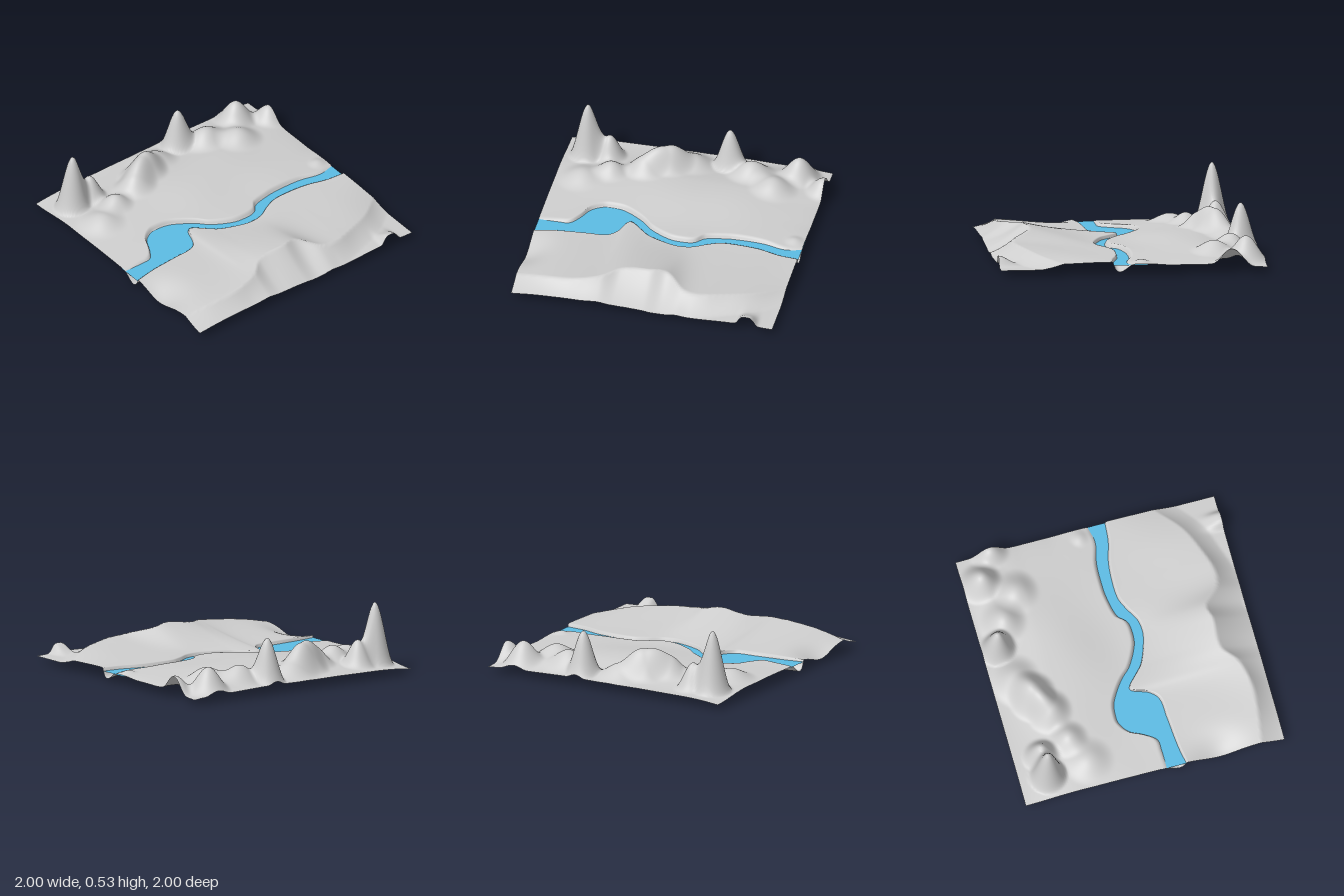
import * as THREE from 'three';

const COLS = 160, NORTH = 76, BED = 12, SOUTH = 62;
const WATER_Y = 0.075;
const { lerp, smoothstep } = THREE.MathUtils;

// Smooth curve through [x, value] points
function curve(points) {
  const slope = (i) => {
    const a = points[Math.max(i - 1, 0)], b = points[Math.min(i + 1, points.length - 1)];
    return (b[1] - a[1]) / (b[0] - a[0]);
  };
  return (x) => {
    let i = 0;
    while (i < points.length - 2 && x > points[i + 1][0]) i++;
    const [x0, y0] = points[i], [x1, y1] = points[i + 1];
    const w = x1 - x0, t = (x - x0) / w, t2 = t * t, t3 = t2 * t;
    return (2 * t3 - 3 * t2 + 1) * y0 + (t3 - 2 * t2 + t) * w * slope(i)
      + (3 * t2 - 2 * t3) * y1 + (t3 - t2) * w * slope(i + 1);
  };
}

// River banks and the lowest level of its bed
const northBank = curve([[-1, 0.09], [-0.85, 0.09], [-0.76, 0.08], [-0.7, 0], [-0.65, -0.1], [-0.57, -0.16],
  [-0.5, -0.17], [-0.4, -0.155], [-0.3, -0.1], [-0.22, -0.04], [-0.15, 0.03], [0, 0.11], [0.1, 0.125],
  [0.2, 0.11], [0.26, 0.05], [0.4, 0.015], [0.5, 0.005], [0.7, 0.01], [0.87, 0.045], [1, 0.02]]);
const southBank = curve([[-1, 0.24], [-0.85, 0.215], [-0.6, 0.195], [-0.45, 0.18], [-0.38, 0.11], [-0.34, 0],
  [-0.3, -0.01], [-0.22, 0.06], [-0.15, 0.12], [0, 0.18], [0.1, 0.2], [0.2, 0.185], [0.3, 0.13],
  [0.4, 0.09], [0.55, 0.085], [0.7, 0.1], [0.85, 0.14], [1, 0.155]]);
const bedLevel = curve([[-1, 0.015], [-0.8, 0.01], [-0.5, 0.002], [-0.42, 0.015], [-0.3, 0.045], [-0.2, 0.055],
  [0.7, 0.055], [0.85, 0.045], [1, 0.025]]);

// Rims of the water sheet, which runs on under the land and the spit
const northRim = curve([[-1, 0.05], [-0.79, 0.03], [-0.71, -0.2], [-0.6, -0.205], [-0.5, -0.2], [-0.3, -0.13],
  [0, -0.01], [0.23, 0.02], [0.4, 0], [0.7, -0.01], [0.84, 0], [0.93, -0.1], [1, -0.1]]);
const southRim = curve([[-1, 0.2], [-0.5, 0.17], [-0.4, 0.165], [-0.15, 0.135], [0.3, 0.08], [1, 0.08]]);

// Crest of the southern hills: its place, its height, and how far its slope runs
const crestZ = curve([[-1, 0.82], [-0.75, 0.86], [-0.55, 0.87], [-0.35, 0.82], [-0.22, 0.72], [0, 0.72],
  [0.13, 0.7], [0.27, 0.82], [0.4, 0.84], [0.6, 0.78], [0.8, 0.69], [1, 0.53]]);
const crestY = curve([[-1, 0.105], [-0.8, 0.14], [-0.5, 0.175], [-0.3, 0.2], [0, 0.238], [0.12, 0.222],
  [0.3, 0.168], [0.5, 0.155], [0.75, 0.135], [1, 0.092]]);
const slopeRun = curve([[-1, 0.17], [-0.5, 0.14], [-0.2, 0.28], [0.15, 0.28], [0.35, 0.16], [1, 0.17]]);
const frontEdgeY = curve([[-1, 0.05], [-0.8, 0.065], [-0.4, 0.07], [-0.15, 0.065], [0, 0.05], [0.4, 0.05],
  [0.7, 0.06], [1, 0.05]]);

// Northern hills: x, z, height, radius across x, radius across z
const hills = [
  [-0.825, -0.78, 0.46, 0.148, 0.148], [0.24, -0.88, 0.33, 0.145, 0.145],
  [-0.66, -0.79, 0.19, 0.14, 0.15], [-0.6, -0.56, 0.085, 0.16, 0.16], [-0.8, -0.46, 0.06, 0.2, 0.2],
  [-0.35, -0.64, 0.125, 0.19, 0.18], [-0.2, -0.73, 0.18, 0.21, 0.19], [-0.04, -0.82, 0.09, 0.22, 0.2],
  [0.42, -0.79, 0.09, 0.2, 0.19], [0.63, -0.63, 0.08, 0.2, 0.18], [0.78, -0.87, 0.165, 0.18, 0.18],
  [0.56, -0.8, 0.04, 0.4, 0.22], [0.99, -0.74, 0.115, 0.15, 0.16], [0.93, -0.06, 0.02, 0.09, 0.08],
  [0, -0.45, 0.033, 0.95, 0.48],
];

function northLand(x, z) {
  let y = 0.108 - 0.025 * x ** 4 - 0.04 * smoothstep(-z, 0.55, 1);
  if (x > 0) y -= 0.014 * x ** 8 * smoothstep(-z, 0.1, 0.3) * (1 - smoothstep(-z, 0.5, 0.7));
  for (const [hx, hz, h, rx, rz] of hills) {
    const r = Math.hypot((x - hx) / rx, (z - hz) / rz);
    if (r < 1) y += h * 0.5 * (1 + Math.cos(Math.PI * r));
  }
  return y + 0.003 * Math.sin(9 * x + 4 * z) * Math.sin(7 * z - 2 * x);
}

function southLand(x, z) {
  const start = southBank(x), top = crestZ(x);
  if (z > top) {
    const t = Math.min((z - top) / slopeRun(x), 1);
    const knoll = 0.07 * Math.exp(-(((x - 0.8) / 0.065) ** 4) - ((z - 1) / 0.1) ** 2);
    return lerp(crestY(x), frontEdgeY(x), 0.6 * t + 0.4 * t * (2 - t)) + knoll;
  }
  const t = (z - start) / (top - start);
  const dip = 0.065 * Math.exp(-(((x + 1) / 0.15) ** 2) - ((z - 0.5) / 0.18) ** 2);
  return lerp(0.1, crestY(x), t ** 1.25) - dip
    + 0.003 * Math.sin(8 * x + 3 * z) * Math.sin(Math.PI * t);
}

// Land height with steep banks falling to the river
function landHeight(x, z) {
  const n = northBank(x), s = southBank(x);
  const rise = (d, width, y) => lerp(WATER_Y, y, smoothstep(d, -0.01, width));
  if (z < n) return rise(n - z, 0.026, northLand(x, z));
  if (z > s) return rise(z - s, 0.012, southLand(x, z));
  const t = (z - n) / (s - n);
  return WATER_Y - (WATER_Y - bedLevel(x)) * Math.max(Math.sin(Math.PI * t ** 1.6), 0) ** 0.7;
}

// Sheet of columns along x; each row gives a point
function sheet(rows, point) {
  const pos = [], index = [];
  for (let i = 0; i <= COLS; i++) {
    const x = -1 + 2 * i / COLS;
    for (let j = 0; j <= rows; j++) pos.push(...point(x, j));
  }
  for (let i = 0; i < COLS; i++) {
    for (let j = 0; j < rows; j++) {
      const a = i * (rows + 1) + j, b = a + rows + 1;
      index.push(a, a + 1, b, a + 1, b + 1, b);
    }
  }
  const g = new THREE.BufferGeometry();
  g.setAttribute('position', new THREE.Float32BufferAttribute(pos, 3));
  g.setIndex(index);
  g.computeVertexNormals();
  return g;
}

export function createModel() {
  const group = new THREE.Group();
  group.name = 'riverValley';
  const landGrey = new THREE.MeshStandardMaterial({ color: 0xcecece, side: THREE.DoubleSide });
  landGrey.name = 'landGrey';
  const waterBlue = new THREE.MeshStandardMaterial({ color: 0x5cbce4, side: THREE.DoubleSide });
  waterBlue.name = 'waterBlue';

  // Land: rows follow the banks so the shoreline stays crisp
  const land = new THREE.Mesh(sheet(NORTH + BED + SOUTH, (x, j) => {
    const n = northBank(x), s = southBank(x);
    let z;
    if (j <= NORTH) z = lerp(n, -1, (1 - j / NORTH) ** 1.15);
    else if (j <= NORTH + BED) z = lerp(n, s, (j - NORTH) / BED);
    else z = lerp(s, 1, ((j - NORTH - BED) / SOUTH) ** 1.2);
    return [x, landHeight(x, z), z];
  }), landGrey);
  land.name = 'land';

  // Water: flat ribbon, tucked under both banks
  const water = new THREE.Mesh(sheet(1, (x, j) => [x, WATER_Y,
    j ? Math.max(southBank(x), southRim(x)) : Math.min(northBank(x), northRim(x))]), waterBlue);
  water.name = 'river';

  group.add(land, water);
  // Stand the lowest point of the bed on the ground
  land.geometry.computeBoundingBox();
  const low = land.geometry.boundingBox.min.y;
  for (const part of [land, water]) part.geometry.translate(0, -low, 0);
  return group;
}
